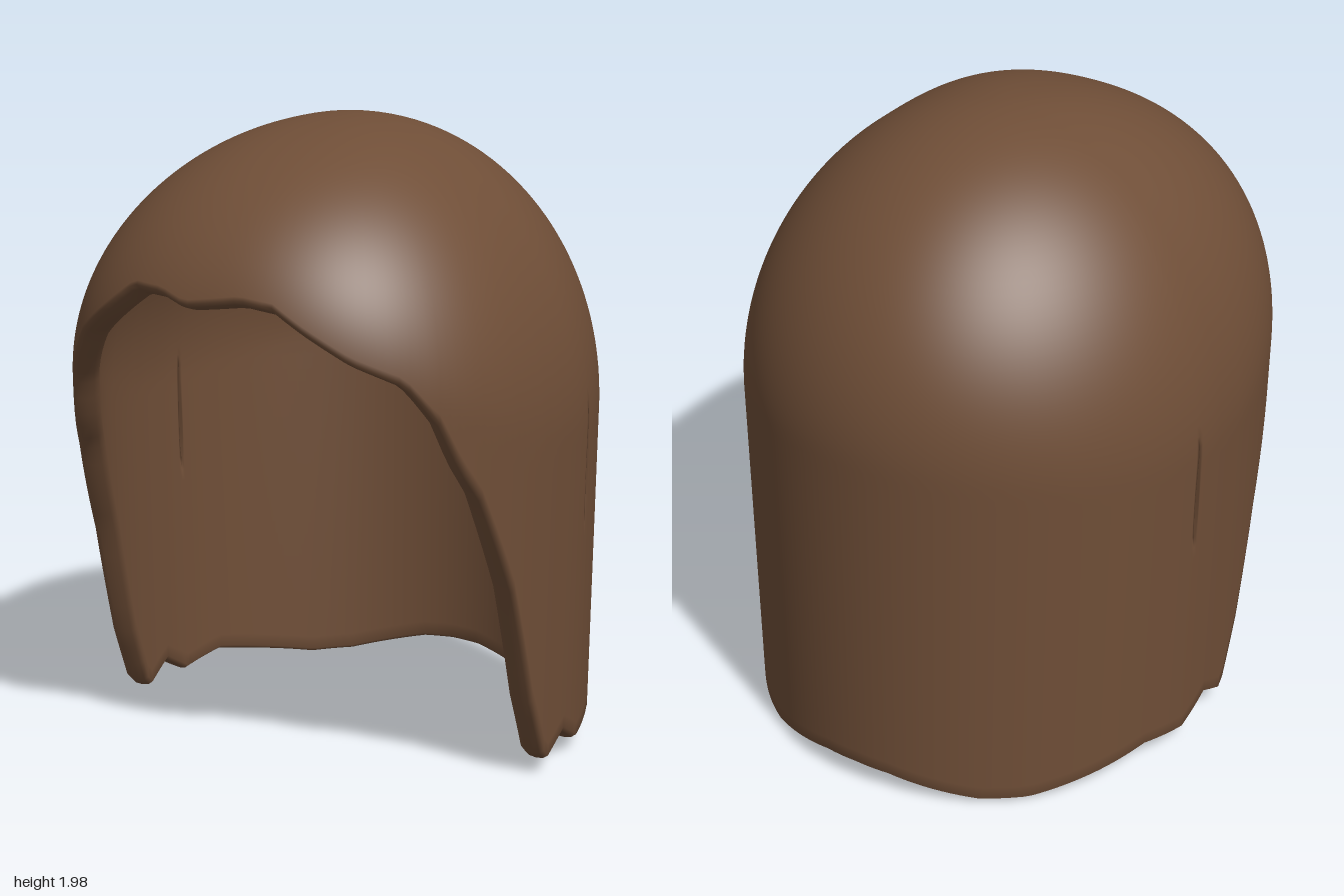
import * as THREE from 'three';
import { mergeVertices } from 'three/addons/utils/BufferGeometryUtils.js';

const THICK = 0.08;
const ROWS = 64;
const SLIT = 98.5; // azimuth of the side slits, degrees

// rim height by azimuth in degrees from the front, towards +x and towards -x
const lower = [[56, 0.96], [66, 0.65], [74, 0.28], [81, 0.06], [90, 0.125], [99, 0.06], [112, 0.09],
  [126, 0.055], [141, 0.02], [152, 0.025], [163, 0.055], [172, 0.08], [180, 0.085]];
const rimPlus = [[0, 1.53], [7, 1.545], [14, 1.53], [20, 1.47], [29, 1.385], [39, 1.32], [46, 1.2], [51, 1.06], ...lower];
const rimMinus = [[0, 1.53], [5, 1.52], [11, 1.55], [19, 1.555], [27, 1.47], [36, 1.38], [46, 1.2], [51, 1.06], ...lower];

function rimHeight(deg) {
  const table = deg >= 0 ? rimPlus : rimMinus, d = Math.abs(deg);
  let k = 1;
  while (k < table.length - 1 && table[k][0] < d) k++;
  const [a0, y0] = table[k - 1], [a1, y1] = table[k];
  return THREE.MathUtils.lerp(y0, y1, (d - a0) / (a1 - a0));
}

// height where the dome turns into the straight wall
function shoulder(a) {
  const c = Math.cos(a);
  return 1.08 + (c > 0 ? 0.32 : 0.1) * c * c;
}

// outer surface: azimuth a, distance l along the meridian from the crown
function surface(a, l) {
  const s = Math.sin(a), c = Math.cos(a);
  const n = c > 0 ? 2.4 : 2, depth = c > 0 ? 0.87 : 0.845;
  const r = (Math.abs(s / 0.78) ** n + Math.abs(c / depth) ** n) ** (-1 / n);
  const yc = shoulder(a), t = Math.min(l, Math.PI / 2);
  const drop = Math.max(l - Math.PI / 2, 0);
  const k = r * Math.sin(t);
  return new THREE.Vector3(k * s * (1 - 0.025 * drop), yc + (2 - yc) * Math.cos(t) - drop, k * c);
}

function meridianLength(a, rim) {
  const yc = shoulder(a);
  return rim > yc ? Math.acos((rim - yc) / (2 - yc)) : Math.PI / 2 + yc - rim;
}

// point at a given depth below the outer surface
function shellPoint(a, l, depth) {
  const p = surface(a, l);
  if (depth === 0) return p;
  if (l < 1e-6) return p.setY(p.y - depth);
  const e = 0.01, m = Math.max(l, 0.02);
  const down = surface(a, m + e).sub(surface(a, m - e));
  const side = surface(a + e, m).sub(surface(a - e, m));
  return p.addScaledVector(down.cross(side).normalize(), -depth);
}

// half width of a slit at height y, in radians
function slitHalf(y) {
  const t = (y - 0.78) / 0.37;
  return t > 0 && t < 1 ? 0.011 * Math.min(1, t * 5, (1 - t) * 1.8) : 0;
}

function hoodGeometry() {
  // columns, with a coincident pair at each slit that opens up along it
  const columns = [];
  for (let d = -180; d < 180; d += 2) {
    columns.push({ deg: d, edge: 0 });
    if (d === 98 || d === -100) {
      const deg = Math.sign(d) * SLIT + (d < 0 ? -0.5 : 0.5);
      columns.push({ deg, edge: -1 }, { deg, edge: 1 });
    }
  }

  // closed section: outer wall down, round the rim, inner wall up
  const section = [];
  for (let j = 0; j <= ROWS; j++) section.push([j / ROWS, 0, 0]);
  section.push([1, 0.012, 0.2], [1, 0.015, 0.5], [1, 0.012, 0.8]);
  for (let j = ROWS; j >= 0; j--) section.push([j / ROWS, 0, 1]);
  const M = section.length;

  const pos = [], index = [], open = [];
  columns.forEach(({ deg, edge }, i) => {
    const a = THREE.MathUtils.degToRad(deg);
    const len = meridianLength(a, rimHeight(deg) + 0.012);
    open[i] = [];
    section.forEach(([u, ext, depth], j) => {
      const l = u * len + ext;
      const half = edge ? slitHalf(surface(a, l).y) : 0;
      open[i][j] = half > 0;
      pos.push(...shellPoint(a + edge * half, l, depth * THICK).toArray());
    });
  });

  const quad = (a, b, c, d) => index.push(a, b, c, a, c, d);
  columns.forEach(({ edge }, i) => {
    const p = i * M, q = ((i + 1) % columns.length) * M;
    for (let j = 0; j < M - 1; j++) {
      const gap = edge === -1 && (open[i][j] || open[i][j + 1]);
      if (!gap) {
        quad(p + j, p + j + 1, q + j + 1, q + j);
      } else if (j < ROWS) {
        // side walls of the slit
        const k = M - 1 - j;
        quad(p + j, p + j + 1, p + k - 1, p + k);
        quad(q + j, q + k, q + k - 1, q + j + 1);
      }
    }
  });

  const g = new THREE.BufferGeometry();
  g.setAttribute('position', new THREE.Float32BufferAttribute(pos, 3));
  g.setIndex(index);
  const merged = mergeVertices(g, 1e-5);
  merged.computeVertexNormals();
  return merged;
}

export function createModel() {
  const group = new THREE.Group();
  group.name = 'hood';
  const material = new THREE.MeshStandardMaterial({ color: 0x6f4e37 });
  const shell = new THREE.Mesh(hoodGeometry(), material);
  shell.name = 'hoodShell';
  group.add(shell);
  return group;
}
